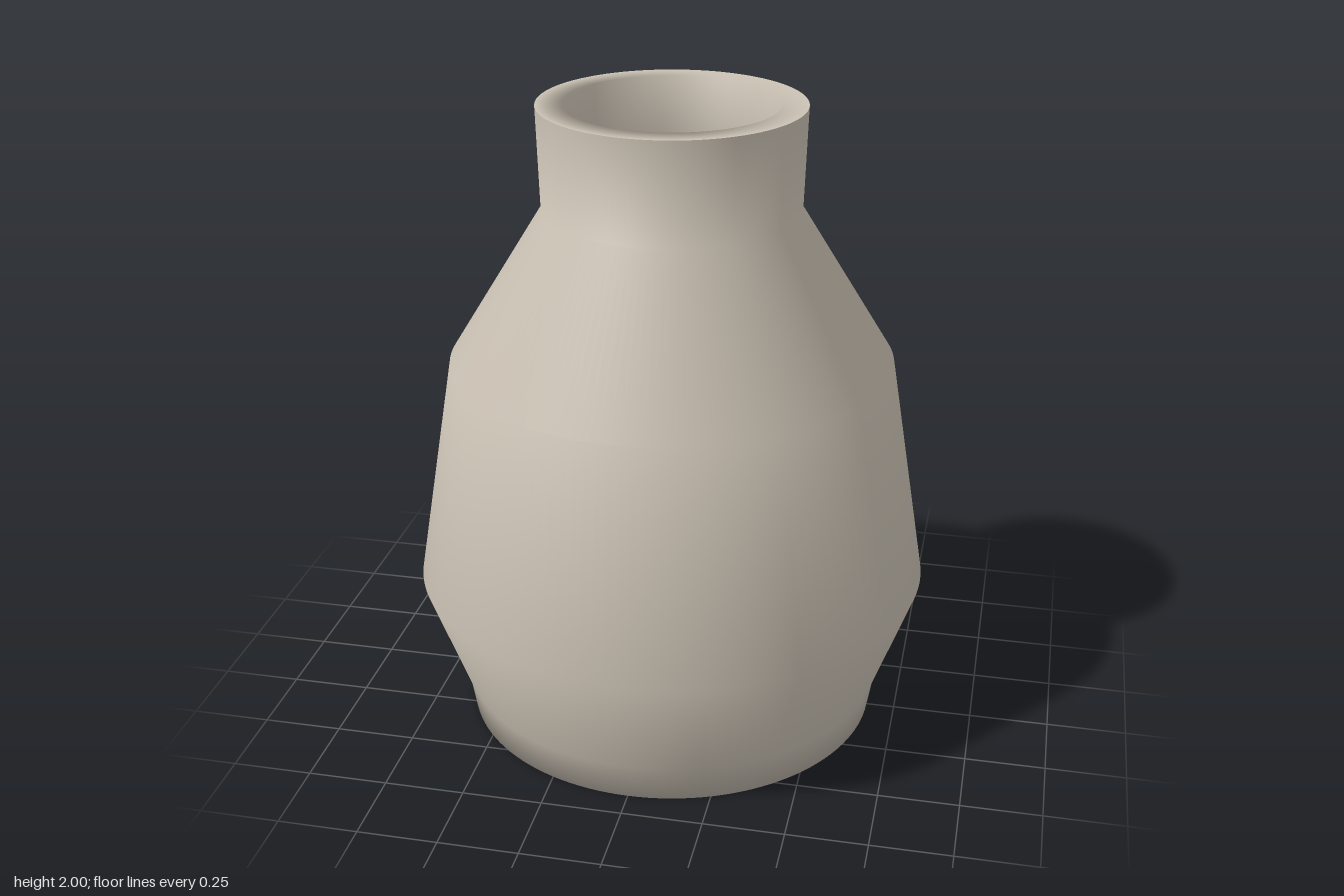
import * as THREE from 'three';

// Revolve a list of [radius, height] pairs around the vertical axis.
function revolve(name, points, material) {
  const profile = points.map(([r, y]) => new THREE.Vector2(r, y));
  const mesh = new THREE.Mesh(new THREE.LatheGeometry(profile, 128), material);
  mesh.name = name;
  return mesh;
}

export function createModel() {
  const vase = new THREE.Group();
  vase.name = 'vase';
  const clay = new THREE.MeshStandardMaterial({ color: 0xcdc4b6 });

  // Base, foot, belly, shoulder and neck, from the base centre up to the rim
  vase.add(revolve('outerWall', [
    [0, 0], [0.66, 0], [0.68, 0.12], [0.81, 0.48],
    [0.69, 1.2], [0.395, 1.68], [0.405, 2],
  ], clay));

  // Flat lip, then the hollow inside down to the floor
  vase.add(revolve('rimAndInside', [
    [0.405, 2], [0.325, 2], [0.312, 1.66], [0.61, 1.17],
    [0.73, 0.48], [0.6, 0.13], [0.58, 0.08], [0, 0.08],
  ], clay));

  return vase;
}
